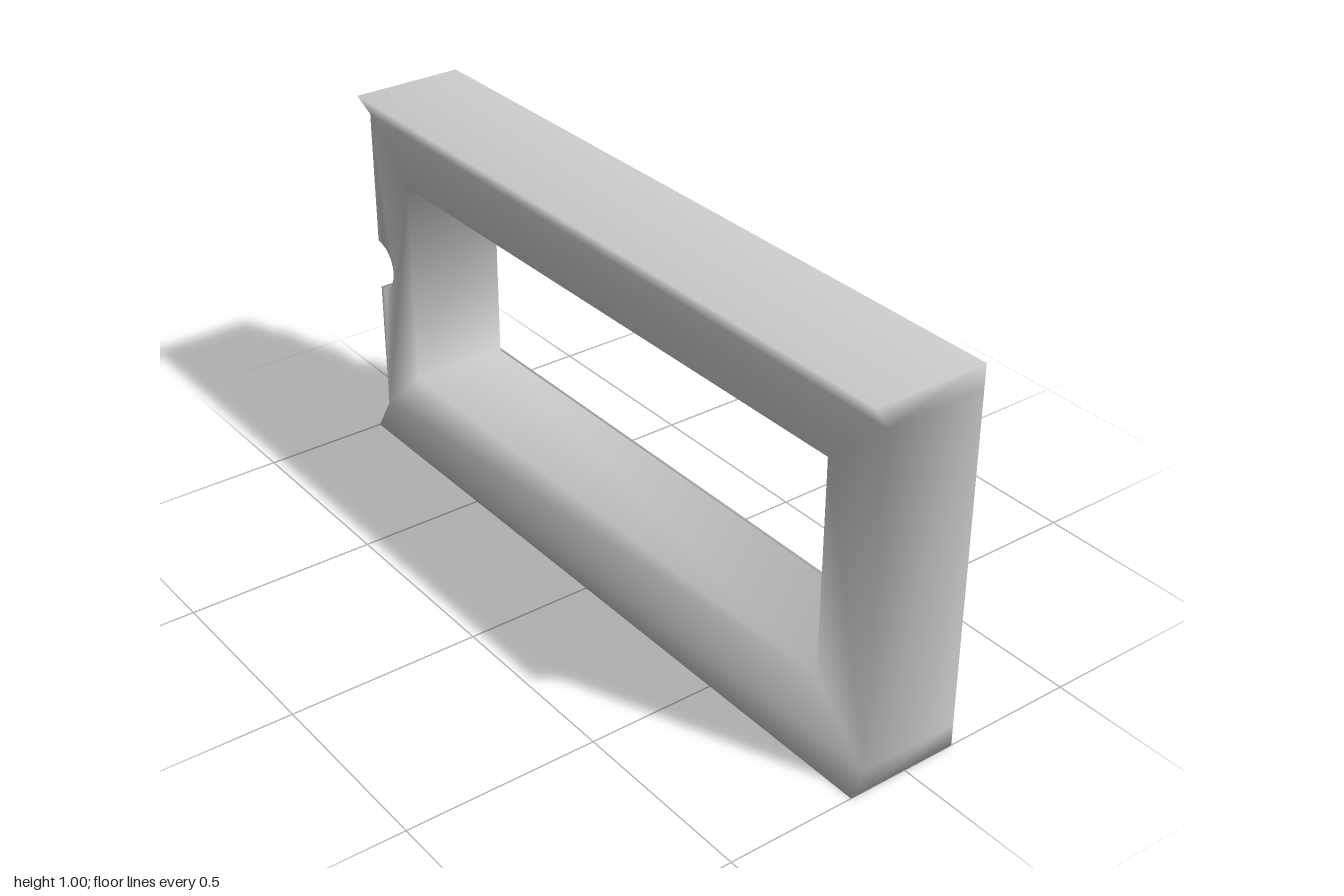
import * as THREE from 'three';
import { mergeVertices } from 'three/addons/utils/BufferGeometryUtils.js';

const FRONT = 0.125, LIP = 0.16, BACK = -0.145;
const material = new THREE.MeshStandardMaterial({ color: 0xcccccc });

// Rectangular frame with a notch in one end and flared lips along top and bottom
function frameGeometry() {
  const v = (x, y) => new THREE.Vector2(x, y);
  const outer = [v(-1, 0), v(1, 0), v(1, 0.06), v(1, 0.94), v(1, 1), v(-1, 1), v(-1, 0.94)];
  const steps = 12;
  for (let i = 0; i <= steps; i++) {
    const a = Math.PI / 2 - (Math.PI * i) / steps;
    outer.push(v(-1 + 0.07 * Math.cos(a), 0.5 + 0.07 * Math.sin(a)));
  }
  outer.push(v(-1, 0.06));
  const hole = [v(-0.83, 0.215), v(-0.83, 0.79), v(0.83, 0.79), v(0.83, 0.215)];
  const points = [...outer, ...hole];
  const n = points.length, m = outer.length;

  // Front ring of vertices, then the back ring
  const isLip = (p) => p.y === 0 || p.y === 1;
  const positions = [
    ...points.flatMap((p) => [p.x, p.y, isLip(p) ? LIP : FRONT]),
    ...points.flatMap((p) => [p.x, p.y, BACK]),
  ];
  const index = [];
  const quad = (a, b, c, d) => index.push(a, b, c, a, c, d);

  // Flat front face between the lips
  const ids = points.map((p, i) => i).filter((i) => !isLip(points[i]));
  const inner = outer.filter((p) => !isLip(p));
  for (const t of THREE.ShapeUtils.triangulateShape(inner, [hole])) index.push(...t.map((i) => ids[i]));
  // Sloping lips
  quad(0, 1, 2, m - 1);
  quad(6, 3, 4, 5);
  // Back face
  for (const [a, b, c] of THREE.ShapeUtils.triangulateShape(outer, [hole])) index.push(a + n, c + n, b + n);
  // Outer and inner walls
  for (const [start, count] of [[0, m], [m, hole.length]]) {
    for (let i = 0; i < count; i++) {
      const a = start + i, b = start + ((i + 1) % count);
      quad(a, a + n, b + n, b);
    }
  }

  const g = new THREE.BufferGeometry();
  g.setAttribute('position', new THREE.Float32BufferAttribute(positions, 3));
  g.setIndex(index);
  g.computeVertexNormals();
  return g;
}

// Long strip with normals shared across its edges
function railGeometry() {
  let g = new THREE.BoxGeometry(1.975, 0.071, 0.015);
  g.deleteAttribute('normal');
  g.deleteAttribute('uv');
  g = mergeVertices(g);
  g.computeVertexNormals();
  return g;
}

export function createModel() {
  const group = new THREE.Group();
  group.name = 'notchedFrame';

  const frame = new THREE.Mesh(frameGeometry(), material);
  frame.name = 'frame';
  group.add(frame);

  // Two rails across the back
  const rail = railGeometry();
  for (const [name, y] of [['lowerBackRail', 0.172], ['upperBackRail', 0.83]]) {
    const mesh = new THREE.Mesh(rail, material);
    mesh.name = name;
    mesh.position.set(-0.002, y, -0.1525);
    group.add(mesh);
  }
  return group;
}
